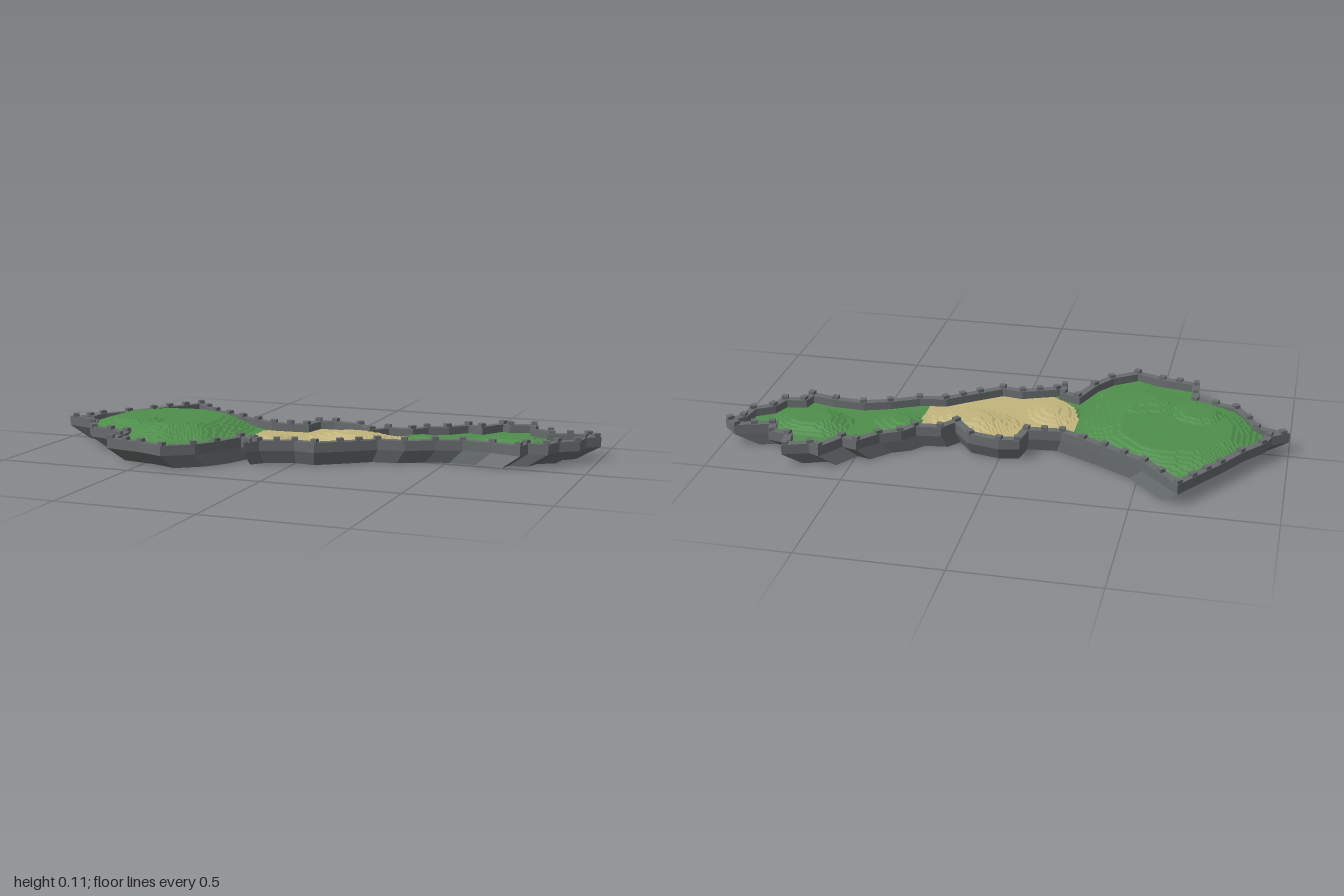
import * as THREE from 'three';

const WALL_BASE = 0.047, WALL_TOP = 0.083, POST_TOP = 0.095, WALL_WIDTH = 0.028;

// Coastline as x, z pairs, running clockwise seen from above
const COAST = [
  -1, 0.02, -0.94, -0.02, -0.92, -0.08, -0.85, -0.165, -0.79, -0.26, -0.655, -0.45,
  -0.515, -0.305, -0.365, -0.22, -0.205, -0.14, -0.09, -0.15, -0.075, -0.235, 0, -0.25,
  0.115, -0.225, 0.18, -0.145, 0.22, -0.195, 0.31, -0.205, 0.35, -0.255, 0.42, -0.29,
  0.485, -0.36, 0.54, -0.345, 0.6, -0.435, 0.64, -0.415, 0.73, -0.447, 0.75, -0.36,
  0.815, -0.345, 0.83, -0.295, 0.95, -0.33, 1, -0.28, 0.955, -0.24, 0.945, -0.17,
  0.88, -0.13, 0.855, -0.065, 0.785, -0.055, 0.77, 0, 0.66, -0.025, 0.555, -0.03,
  0.465, 0, 0.365, 0.05, 0.27, 0.065, 0.16, 0.145, 0.08, 0.2, 0, 0.19,
  -0.115, 0.235, -0.155, 0.28, -0.165, 0.205, -0.205, 0.19, -0.245, 0.295, -0.3, 0.375,
  -0.4, 0.445, -0.505, 0.405, -0.645, 0.38, -0.655, 0.24, -0.805, 0.205, -0.86, 0.12,
  -0.89, 0.055,
];

// Hills: x, z, radius x, radius z, height, flatness of the top
const HILLS = [
  [-0.6, -0.03, 0.36, 0.36, 0.042, 0.5],
  [-0.45, 0.2, 0.22, 0.2, 0.012, 0.3],
  [-0.67, 0.075, 0.1, 0.1, 0.013, 0.4],
  [-0.14, 0.06, 0.12, 0.12, 0.016, 0.2],
  [0.14, -0.07, 0.2, 0.13, 0.026, 0.2],
  [0.38, -0.13, 0.13, 0.1, 0.016, 0.2],
  [0.7, -0.19, 0.17, 0.13, 0.024, 0.3],
];

function outline() {
  const points = [];
  for (let i = 0; i < COAST.length; i += 2) points.push(new THREE.Vector2(COAST[i], COAST[i + 1]));
  return points;
}

// Mitred offset towards the land
function inset(points, width) {
  const n = points.length;
  const inward = (a, b) => new THREE.Vector2(a.y - b.y, b.x - a.x).normalize();
  return points.map((p, i) => {
    const before = inward(points[(i + n - 1) % n], p);
    const after = inward(p, points[(i + 1) % n]);
    const mid = before.clone().add(after).normalize();
    return p.clone().addScaledVector(mid, width / Math.max(0.5, mid.dot(after)));
  });
}

const atHeight = (points, y) => points.map((p) => new THREE.Vector3(p.x, y, p.y));

function geometryFrom(positions) {
  const geometry = new THREE.BufferGeometry();
  geometry.setAttribute('position', new THREE.Float32BufferAttribute(positions, 3));
  geometry.computeVertexNormals();
  return geometry;
}

// Joins successive closed loops with flat faces
function loft(loops) {
  const out = [];
  for (let k = 0; k + 1 < loops.length; k++) {
    const a = loops[k], b = loops[k + 1];
    for (let i = 0; i < a.length; i++) {
      const j = (i + 1) % a.length;
      for (const v of [a[j], a[i], b[i], a[j], b[i], b[j]]) out.push(v.x, v.y, v.z);
    }
  }
  return geometryFrom(out);
}

function isInside(points, x, z) {
  let inside = false;
  for (let i = 0, j = points.length - 1; i < points.length; j = i++) {
    const a = points[i], b = points[j];
    if ((a.y > z) !== (b.y > z) && x < ((b.x - a.x) * (z - a.y)) / (b.y - a.y) + a.x) inside = !inside;
  }
  return inside;
}

// Rolling ground cut into low terraces
function groundHeight(x, z) {
  let y = 0.054;
  for (const [cx, cz, rx, rz, height, flat] of HILLS) {
    const d = Math.hypot((x - cx) / rx, (z - cz) / rz);
    y += height * (1 - THREE.MathUtils.smoothstep(d, flat, 1));
  }
  y += 0.0015 * Math.sin(x * 31 + z * 17) * Math.sin(z * 37 - x * 11);
  const step = 0.006;
  return Math.min(0.11, 0.3 * y + 0.7 * Math.round(y / step) * step);
}

// Grid cells within the coast, sorted into grass and sand
function buildGround(points) {
  const grass = [], sand = [], s = 0.01;
  for (let ix = -100; ix < 100; ix++) {
    for (let iz = -46; iz < 46; iz++) {
      const corner = (dx, dz) => [(ix + dx) * s, (iz + dz) * s];
      const corners = [corner(0, 0), corner(0, 1), corner(1, 1), corner(1, 0)];
      if (!corners.every(([x, z]) => isInside(points, x, z))) continue;
      const onBeach = Math.hypot((ix + 0.5) * s - 0.04, (iz + 0.5) * s + 0.03) < 0.285;
      const target = onBeach ? sand : grass;
      for (const c of [0, 1, 2, 0, 2, 3]) {
        const [x, z] = corners[c];
        target.push(x, groundHeight(x, z), z);
      }
    }
  }
  return { grass: geometryFrom(grass), sand: geometryFrom(sand) };
}

export function createModel() {
  const material = (name, color) =>
    new THREE.MeshStandardMaterial({ name, color, flatShading: true, side: THREE.DoubleSide });
  const grassGreen = material('grassGreen', 0x4f8f4c);
  const sandYellow = material('sandYellow', 0xc2b57c);
  const stoneGrey = material('stoneGrey', 0x676c6c);

  const model = new THREE.Group();
  model.name = 'walledIsland';
  const add = (name, geometry, mat, parent = model) => {
    const mesh = new THREE.Mesh(geometry, mat);
    mesh.name = name;
    parent.add(mesh);
    return mesh;
  };

  const outer = outline();
  const inner = inset(outer, WALL_WIDTH);

  // Ground
  const ground = buildGround(outer);
  add('grassland', ground.grass, grassGreen);
  add('sandyMiddle', ground.sand, sandYellow);

  // Cliff tapering down to a smaller foot
  const foot = outer.map((p) => p.clone().multiplyScalar(0.915));
  add('cliff', loft([atHeight(foot, 0), atHeight(outer, WALL_BASE)]), stoneGrey);

  // Wall along the coast
  add('wall', loft([
    atHeight(outer, WALL_BASE), atHeight(outer, WALL_TOP),
    atHeight(inner, WALL_TOP), atHeight(inner, WALL_BASE), atHeight(outer, WALL_BASE),
  ]), stoneGrey);

  // Battlement posts on corners and along the longer stretches
  const posts = new THREE.Group();
  posts.name = 'battlements';
  model.add(posts);
  const middle = inset(outer, WALL_WIDTH * 0.45);
  const postHeight = POST_TOP - WALL_TOP + 0.004;
  const postShape = new THREE.BoxGeometry(0.023, postHeight, 0.021);
  middle.forEach((a, i) => {
    const b = middle[(i + 1) % middle.length];
    const count = Math.max(1, Math.round(a.distanceTo(b) / 0.085));
    for (let k = 0; k < count; k++) {
      const p = a.clone().lerp(b, k / count);
      const post = add('post', postShape, stoneGrey, posts);
      post.position.set(p.x, POST_TOP - postHeight / 2, p.y);
      post.rotation.y = -Math.atan2(b.y - a.y, b.x - a.x);
    }
  });

  return model;
}
